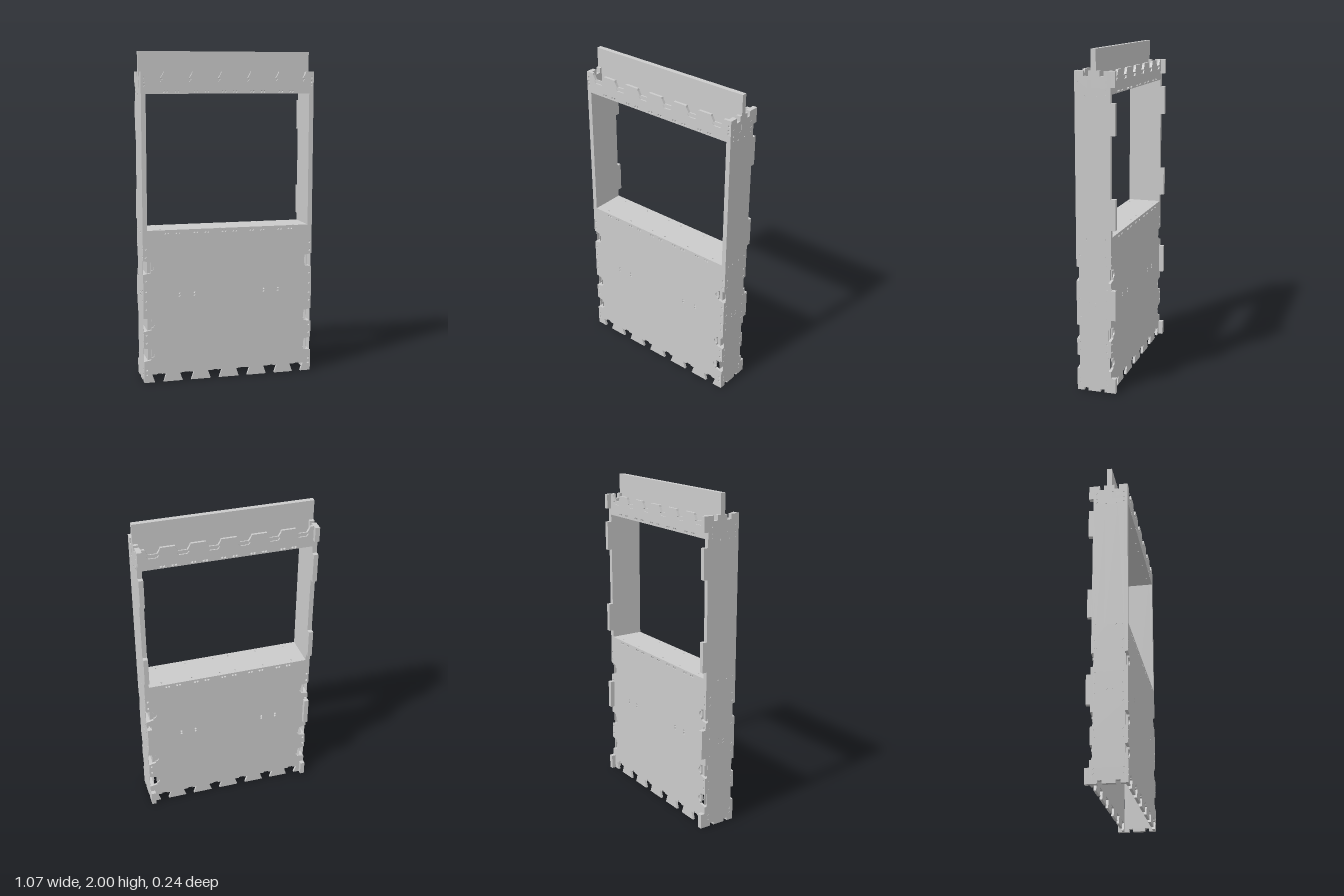
import * as THREE from 'three';

const mat = new THREE.MeshStandardMaterial({ color: 0xcccccc, flatShading: true });
const W = 0.533, IN = 0.505, H = 1.88;          // half width, inner half width, panel height
const FRONT = 0.117, FRONT_IN = 0.101, BACK = -0.093, BACK_IN = -0.078;
const DOVETAILS = [-0.44, -0.267, -0.09, 0.09, 0.267, 0.44];
const SIDE_NOTCHES = [0.175, 0.362, 0.715];
const SCREW_ROWS = [0.05, 0.08, 0.25, 0.30, 0.46, 0.51, 0.57, 0.635, 0.78, 0.83];

function add(group, name, geometry) {
  const mesh = new THREE.Mesh(geometry, mat);
  mesh.name = name;
  group.add(mesh);
  return mesh;
}

// Box given by its limits on each axis
function box(group, name, [x0, x1], [y0, y1], [z0, z1]) {
  const g = new THREE.BoxGeometry(x1 - x0, y1 - y0, z1 - z0);
  g.translate((x0 + x1) / 2, (y0 + y1) / 2, (z0 + z1) / 2);
  return add(group, name, g);
}

function roundHole(shape, x, y, r = 0.007) {
  shape.holes.push(new THREE.Path().absarc(x, y, r, 0, Math.PI * 2, true));
}

function rectHole(shape, x0, x1, y0, y1) {
  const p = [[x0, y0], [x0, y1], [x1, y1], [x1, y0]];
  shape.holes.push(new THREE.Path(p.map(([x, y]) => new THREE.Vector2(x, y))));
}

// Half round relief at the inner edge of a notch
function relief(points, cx, cy, r, from, to) {
  for (let i = 0; i <= 8; i++) {
    const a = from + (to - from) * i / 8;
    points.push([cx + r * Math.cos(a), cy + r * Math.sin(a)]);
  }
}

// Broad panel with window, dovetail notches and screw holes
function panelShape(withRelief) {
  const p = [[-W, 0]];
  for (const x of DOVETAILS) {
    p.push([x - 0.027, 0], [x - 0.044, 0.05]);
    if (withRelief) relief(p, x, 0.05, 0.017, Math.PI, 0);
    p.push([x + 0.044, 0.05], [x + 0.027, 0]);
  }
  p.push([W, 0]);
  for (const y of SIDE_NOTCHES) {
    p.push([W, y - 0.042], [0.487, y - 0.033]);
    if (withRelief) relief(p, 0.487, y, 0.02, -Math.PI / 2, -Math.PI * 1.5);
    p.push([0.487, y + 0.033], [W, y + 0.042]);
  }
  p.push([W, H]);
  for (const x of [...DOVETAILS].reverse()) {
    p.push([x + 0.044, H], [x + 0.04, 1.868], [x + 0.025, 1.842]);
    if (withRelief) p.push([x + 0.036, 1.835], [x + 0.024, 1.82], [x - 0.024, 1.82], [x - 0.036, 1.835]);
    p.push([x - 0.025, 1.842], [x - 0.04, 1.868], [x - 0.044, H]);
  }
  p.push([-W, H]);
  for (const y of [...SIDE_NOTCHES].reverse()) {
    p.push([-W, y + 0.042], [-0.487, y + 0.033]);
    if (withRelief) relief(p, -0.487, y, 0.02, Math.PI / 2, -Math.PI / 2);
    p.push([-0.487, y - 0.033], [-W, y - 0.042]);
  }
  const shape = new THREE.Shape(p.map(([x, y]) => new THREE.Vector2(x, y)));
  rectHole(shape, -IN, IN, 0.94, 1.75);
  for (const s of [-1, 1]) {
    for (const y of [...SCREW_ROWS, 1.80, 1.82, 1.845]) roundHole(shape, s * 0.518, y);
    for (const x of [0.22, 0.313]) for (const y of [0.535, 0.552]) roundHole(shape, s * x, y);
  }
  for (const x of [-0.355, -0.175, 0, 0.175, 0.355])
    for (const d of [-0.043, -0.025, 0.025, 0.043])
      for (const y of [0.922, 1.763]) roundHole(shape, x + d, y);
  return shape;
}

// Two-ply panel; only the outer ply carries the reliefs
function panel(group, name, outer, inner) {
  const mid = (outer + inner) / 2, depth = Math.abs(outer - inner) / 2;
  [[outer, true], [inner, false]].forEach(([z, rel]) => {
    const g = new THREE.ExtrudeGeometry(panelShape(rel), { depth, bevelEnabled: false, curveSegments: 8 });
    g.translate(0, 0, Math.min(z, mid));
    add(group, name + (rel ? 'OuterPly' : 'InnerPly'), g);
  });
}

// Thin face of a side wall, drawn in z and y
function sideSkin(group, name, x, depth, drilled) {
  const shape = new THREE.Shape();
  shape.moveTo(BACK_IN, 0).lineTo(-0.05, 0).lineTo(-0.05, 0.018).lineTo(-0.025, 0.018)
    .lineTo(-0.025, 0).lineTo(0.05, 0).lineTo(0.05, 0.018).lineTo(0.075, 0.018)
    .lineTo(0.075, 0).lineTo(FRONT_IN, 0).lineTo(FRONT_IN, 1.85).lineTo(BACK_IN, 1.85);
  if (drilled) {
    for (const y of [...SCREW_ROWS, 0.93, 1.755, 1.78, 1.82])
      for (const z of [-0.068, 0.093]) roundHole(shape, z, y, 0.006);
    for (const z of [-0.012, 0.05])
      for (const y of [0.925, 1.745]) roundHole(shape, z, y, 0.006);
    for (const z of [0, 0.033]) for (const y of [0.53, 0.55]) roundHole(shape, z, y, 0.006);
    rectHole(shape, 0.022, 0.042, 1.785, 1.83);
  }
  const g = new THREE.ExtrudeGeometry(shape, { depth, bevelEnabled: false, curveSegments: 6 });
  g.rotateY(-Math.PI / 2);
  g.translate(x, 0, 0);
  add(group, name, g);
}

function sideWall(s) {
  const g = new THREE.Group();
  g.name = s > 0 ? 'leftSideWall' : 'rightSideWall';
  const T = 0.002;
  const at = (a, b) => s > 0 ? [a, b] : [-b, -a];
  sideSkin(g, 'outerFace', s > 0 ? W : -W + T, T, true);
  sideSkin(g, 'innerFace', s > 0 ? IN + T : -IN, T, false);
  // Core, interrupted where the edge notches pass
  const cuts = [0.018, ...SIDE_NOTCHES.flatMap(y => [y - 0.042, y + 0.042]), 1.85];
  for (let i = 0; i < cuts.length; i += 2)
    box(g, 'core', at(IN + T, W - T), [cuts[i], cuts[i + 1]], [BACK_IN, FRONT_IN]);
  // Foot and top teeth
  for (const z of [[BACK_IN, -0.05], [-0.025, 0.05], [0.075, FRONT_IN]])
    box(g, 'footTooth', at(IN + T, W - T), [0, 0.018], z);
  for (const z of [[BACK_IN, -0.055], [-0.03, -0.01], [0.02, 0.035], [0.065, FRONT_IN]])
    box(g, 'topTooth', at(IN, W), [1.85, H], z);
  // Tabs standing out at the back
  for (const y of [[0, 0.09], [0.45, 0.628], [0.985, 1.165], [1.525, 1.705], [1.79, H]])
    box(g, 'backTab', at(IN, W), y, [-0.12, BACK]);
  return g;
}

// Horizontal board between the panels, with screw holes along its edges
function shelf(group, name, y, depth) {
  const shape = new THREE.Shape();
  shape.moveTo(-IN, -FRONT_IN).lineTo(IN, -FRONT_IN).lineTo(IN, -BACK_IN).lineTo(-IN, -BACK_IN);
  for (const x of [-0.42, -0.23, -0.05, 0.05, 0.23, 0.42])
    for (const z of [-0.066, 0.09]) roundHole(shape, x, -z, 0.005);
  const g = new THREE.ExtrudeGeometry(shape, { depth, bevelEnabled: false, curveSegments: 6 });
  g.rotateX(-Math.PI / 2);
  g.translate(0, y, 0);
  add(group, name, g);
}

export function createModel() {
  const model = new THREE.Group();
  model.name = 'windowedPanelFrame';
  panel(model, 'frontPanel', FRONT, FRONT_IN);
  panel(model, 'backPanel', BACK, BACK_IN);
  model.add(sideWall(1), sideWall(-1));
  shelf(model, 'windowSill', 0.912, 0.028);
  shelf(model, 'windowLintel', 1.75, 0.028);
  // Upright board rising out of the top
  box(model, 'headBoardLower', [-IN, IN], [1.778, 1.85], [-0.01, 0.02]);
  box(model, 'headBoard', [-W, W], [1.85, 2], [-0.01, 0.02]);
  return model;
}
